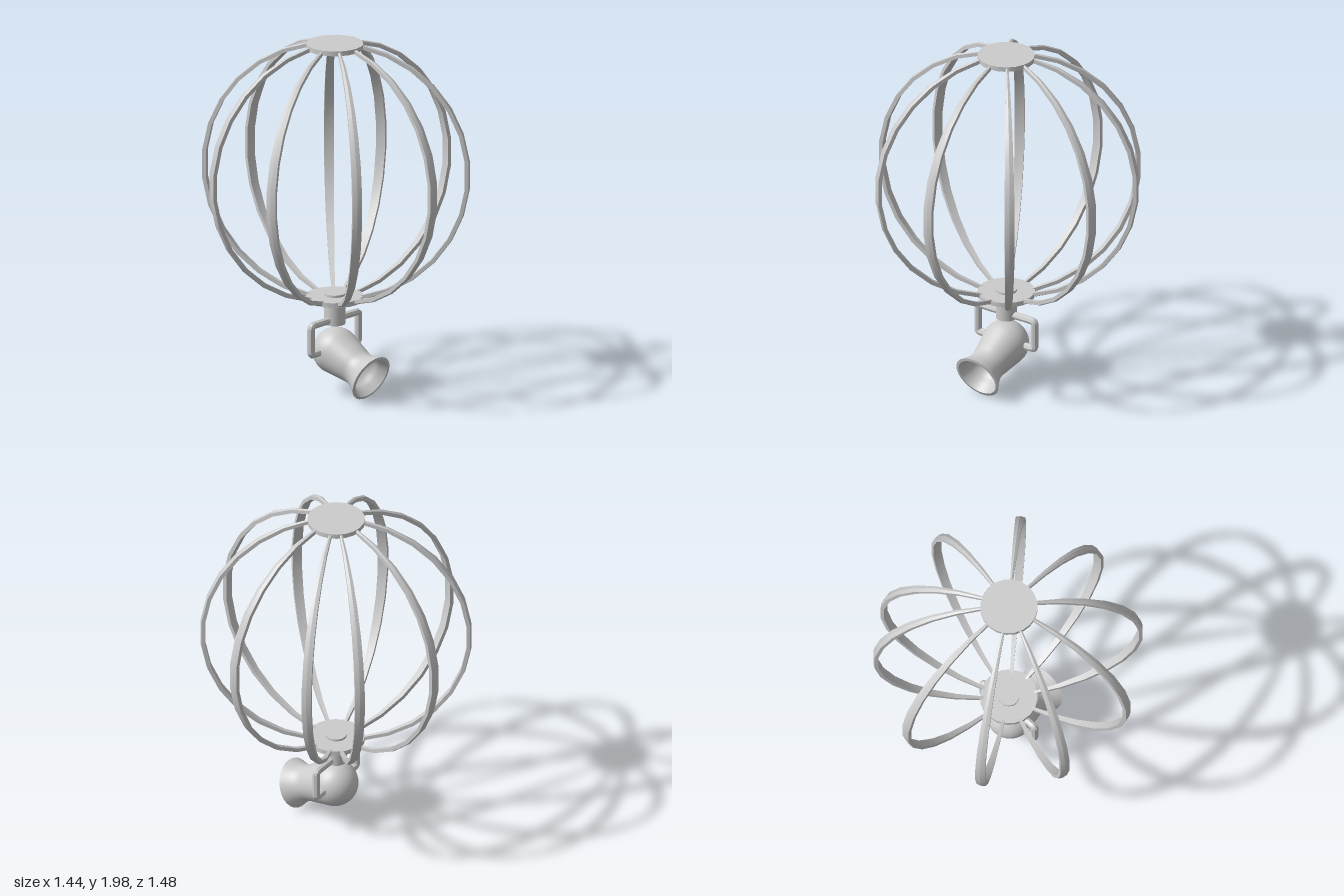
import * as THREE from 'three';

const smooth = new THREE.MeshStandardMaterial({ color: 0xcccccc });
const faceted = new THREE.MeshStandardMaterial({ color: 0xcccccc, flatShading: true });
const deg = Math.PI / 180;

function add(parent, name, geometry, material = smooth) {
  const mesh = new THREE.Mesh(geometry, material);
  mesh.name = name;
  parent.add(mesh);
  return mesh;
}

// Curved band from plate to plate, widest at the equator; each side is its own strip, so edges stay sharp
function ribGeometry(radius, segments, startAngle) {
  const section = [[-0.5, -0.026], [0.5, -0.026], [0.5, -0.005], [0, 0], [-0.5, -0.005]];
  const positions = [], index = [];
  const point = ([u, v], i) => {
    const phi = startAngle + (i / segments) * (Math.PI - 2 * startAngle);
    const width = 0.006 + 0.048 * Math.sin(phi);
    positions.push(u * width, (radius + v) * Math.cos(phi), (radius + v) * Math.sin(phi));
  };
  section.forEach((corner, j) => {
    const first = positions.length / 3;
    for (let i = 0; i <= segments; i++) {
      point(corner, i);
      point(section[(j + 1) % section.length], i);
    }
    for (let i = 0; i < segments; i++) {
      const a = first + 2 * i;
      index.push(a, a + 1, a + 3, a, a + 3, a + 2);
    }
  });
  // End caps
  for (const end of [0, segments]) {
    const first = positions.length / 3;
    section.forEach((corner) => point(corner, end));
    for (let j = 1; j < section.length - 1; j++) {
      index.push(first, first + (end ? j : j + 1), first + (end ? j + 1 : j));
    }
  }
  const g = new THREE.BufferGeometry();
  g.setAttribute('position', new THREE.Float32BufferAttribute(positions, 3));
  g.setIndex(index);
  g.computeVertexNormals();
  return g;
}

// Straight runs joined by small rounded corners
function roundedPath(points, r) {
  const path = new THREE.CurvePath();
  let from = points[0];
  for (let i = 1; i < points.length - 1; i++) {
    const p = points[i];
    const before = p.clone().add(points[i - 1].clone().sub(p).setLength(r));
    const after = p.clone().add(points[i + 1].clone().sub(p).setLength(r));
    path.add(new THREE.LineCurve3(from, before));
    path.add(new THREE.QuadraticBezierCurve3(before, p, after));
    from = after;
  }
  path.add(new THREE.LineCurve3(from, points[points.length - 1]));
  return path;
}

export function createModel() {
  const model = new THREE.Group();
  model.name = 'cageLamp';

  // Cage ribs, unevenly spaced at the back
  const cage = new THREE.Group();
  cage.name = 'cage';
  cage.position.y = 1.258;
  model.add(cage);
  const rib = ribGeometry(0.745, 13, 0.19);
  for (const angle of [0, 37.2, 75.4, 112.4, 135.3, 172.4, 210, 247, 284.6, 322.4]) {
    add(cage, 'rib', rib).rotation.y = angle * deg;
  }

  // Plates closing the cage, and the stem through the lower one
  add(model, 'topPlate', new THREE.CylinderGeometry(0.157, 0.157, 0.027, 20)).position.y = 1.976;
  add(model, 'bottomPlate', new THREE.CylinderGeometry(0.157, 0.157, 0.027, 20)).position.y = 0.539;
  add(model, 'stem', new THREE.CylinderGeometry(0.058, 0.058, 0.175, 24)).position.y = 0.4775;

  // Yoke holding the lamp on both sides
  const yoke = [[-0.11, 0.25], [-0.19, 0.25], [-0.19, 0.416], [0.19, 0.416], [0.19, 0.25], [0.11, 0.25]]
    .map(([x, y]) => new THREE.Vector3(x, y, 0));
  add(model, 'yoke', new THREE.TubeGeometry(roundedPath(yoke, 0.018), 120, 0.021, 8), faceted);

  // Lamp housing: round back, straight taper, flared mouth
  const lamp = new THREE.Group();
  lamp.name = 'lamp';
  lamp.position.set(0, 0.238, 0.01);
  lamp.rotation.x = 112 * deg;
  model.add(lamp);
  const v = (x, y) => new THREE.Vector2(x, y);
  const back = [];
  for (let i = 0; i < 16; i++) {
    const a = (i / 15) * 100 * deg;
    back.push(v(0.13 * Math.sin(a), -0.13 * Math.cos(a)));
  }
  const flare = new THREE.SplineCurve(
    [v(0.119, 0.07), v(0.108, 0.13), v(0.1, 0.18), v(0.109, 0.225), v(0.137, 0.28)]).getPoints(25);
  add(lamp, 'housing', new THREE.LatheGeometry([...back, ...flare], 40));

  // Mouth rim and shallow hollow inside
  add(lamp, 'rim', new THREE.LatheGeometry([v(0.137, 0.28), v(0.12, 0.283)], 40));
  const dish = new THREE.SplineCurve(
    [v(0.12, 0.283), v(0.1, 0.235), v(0.088, 0.19), v(0.06, 0.155), v(0, 0.14)]).getPoints(30);
  add(lamp, 'reflector', new THREE.LatheGeometry(dish, 40));

  return model;
}
